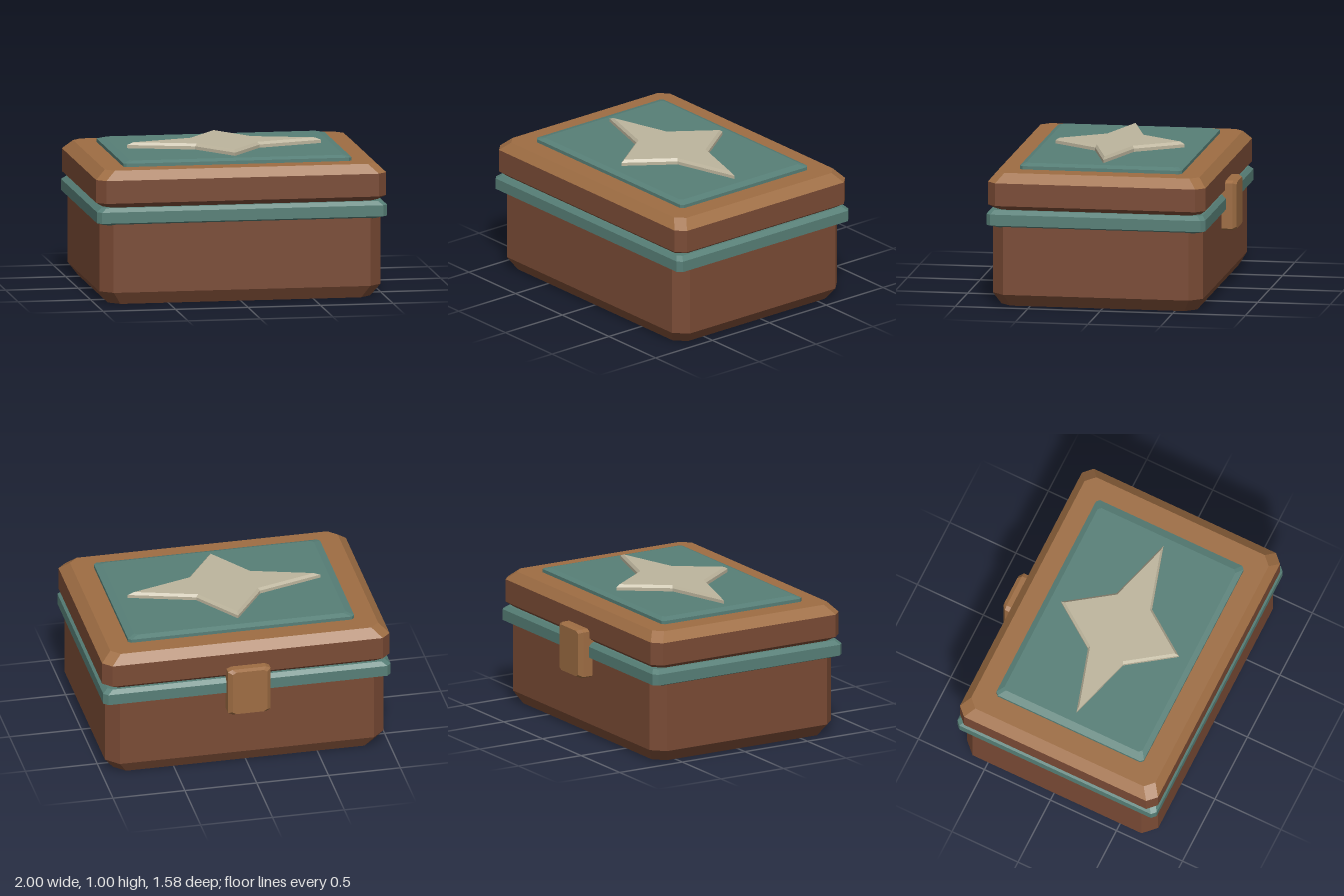
import * as THREE from 'three';

const flat = (name, color) => {
  const m = new THREE.MeshStandardMaterial({ color });
  m.name = name;
  return m;
};

// Rectangle with cut corners, counterclockwise seen from above
function cutRect(hx, hz, cx, cz = cx) {
  return [
    [hx, hz - cz], [hx, -hz + cz], [hx - cx, -hz], [-hx + cx, -hz],
    [-hx, -hz + cz], [-hx, hz - cz], [-hx + cx, hz], [hx - cx, hz],
  ];
}

// Four-pointed star outline, same direction
function star(tipX, tipZ, inX, inZ) {
  return [
    [tipX, 0], [inX, -inZ], [0, -tipZ], [-inX, -inZ],
    [-tipX, 0], [-inX, inZ], [0, tipZ], [inX, inZ],
  ];
}

// Joins outlines stacked along y and closes both ends; levels are [y, outline]
function loft(levels) {
  const pos = [];
  const n = levels[0][1].length;
  const at = (k, i) => {
    const [y, ring] = levels[k];
    const [x, z] = ring[i % n];
    return [x, y, z];
  };
  const last = levels.length - 1;
  for (let i = 0; i < n; i++) {
    for (let k = 0; k < last; k++) {
      const a = at(k, i), b = at(k, i + 1), c = at(k + 1, i + 1), d = at(k + 1, i);
      pos.push(...a, ...b, ...c, ...a, ...c, ...d);
    }
    pos.push(0, levels[last][0], 0, ...at(last, i), ...at(last, i + 1));
    pos.push(0, levels[0][0], 0, ...at(0, i + 1), ...at(0, i));
  }
  const g = new THREE.BufferGeometry();
  g.setAttribute('position', new THREE.Float32BufferAttribute(pos, 3));
  g.computeVertexNormals();
  return g;
}

export function createModel() {
  const brown = flat('dark brown wood', 0x7a4b35);
  const tan = flat('light brown wood', 0x9e6d43);
  const teal = flat('teal trim', 0x577f77);
  const cream = flat('cream inlay', 0xbdb59d);

  const model = new THREE.Group();
  model.name = 'box';
  const add = (name, material, levels) => {
    const mesh = new THREE.Mesh(loft(levels), material);
    mesh.name = name;
    mesh.position.z = 0.035;
    model.add(mesh);
    return mesh;
  };

  // Lower box with chamfered foot
  add('body', brown, [
    [0, cutRect(0.905, 0.675, 0.075)],
    [0.085, cutRect(0.97, 0.725, 0.085)],
    [0.6, cutRect(0.97, 0.725, 0.085)],
  ]);

  // Trim around the opening
  add('rimBand', teal, [
    [0.548, cutRect(0.955, 0.71, 0.04)],
    [0.567, cutRect(1, 0.755, 0.03)],
    [0.643, cutRect(1, 0.755, 0.03)],
    [0.67, cutRect(0.965, 0.73, 0.03)],
  ]);

  // Lid: dark sides, light bevelled top
  add('lidSides', brown, [
    [0.662, cutRect(0.935, 0.6975, 0.06)],
    [0.703, cutRect(1, 0.75, 0.06)],
    [0.86, cutRect(1, 0.75, 0.06)],
  ]);
  add('lidTop', tan, [
    [0.86, cutRect(1, 0.75, 0.06)],
    [0.922, cutRect(0.932, 0.6975, 0.06)],
  ]);

  // Raised panel and star
  add('lidPanel', teal, [
    [0.915, cutRect(0.787, 0.559, 0.02)],
    [0.945, cutRect(0.787, 0.559, 0.02)],
    [0.96, cutRect(0.735, 0.522, 0.02)],
  ]);
  add('starInlay', cream, [
    [0.955, star(0.67, 0.445, 0.222, 0.133)],
    [0.982, star(0.67, 0.445, 0.222, 0.133)],
    [1, star(0.625, 0.418, 0.208, 0.124)],
  ]);

  // Clasp on the back, lofted outwards toward -z
  const clasp = add('clasp', tan, [
    [0.6, cutRect(0.148, 0.172, 0.03, 0.015)],
    [0.765, cutRect(0.148, 0.172, 0.03, 0.015)],
    [0.79, cutRect(0.12, 0.16, 0.025, 0.015)],
  ]);
  clasp.rotation.x = -Math.PI / 2;
  clasp.position.set(0, 0.592, 0);

  return model;
}
